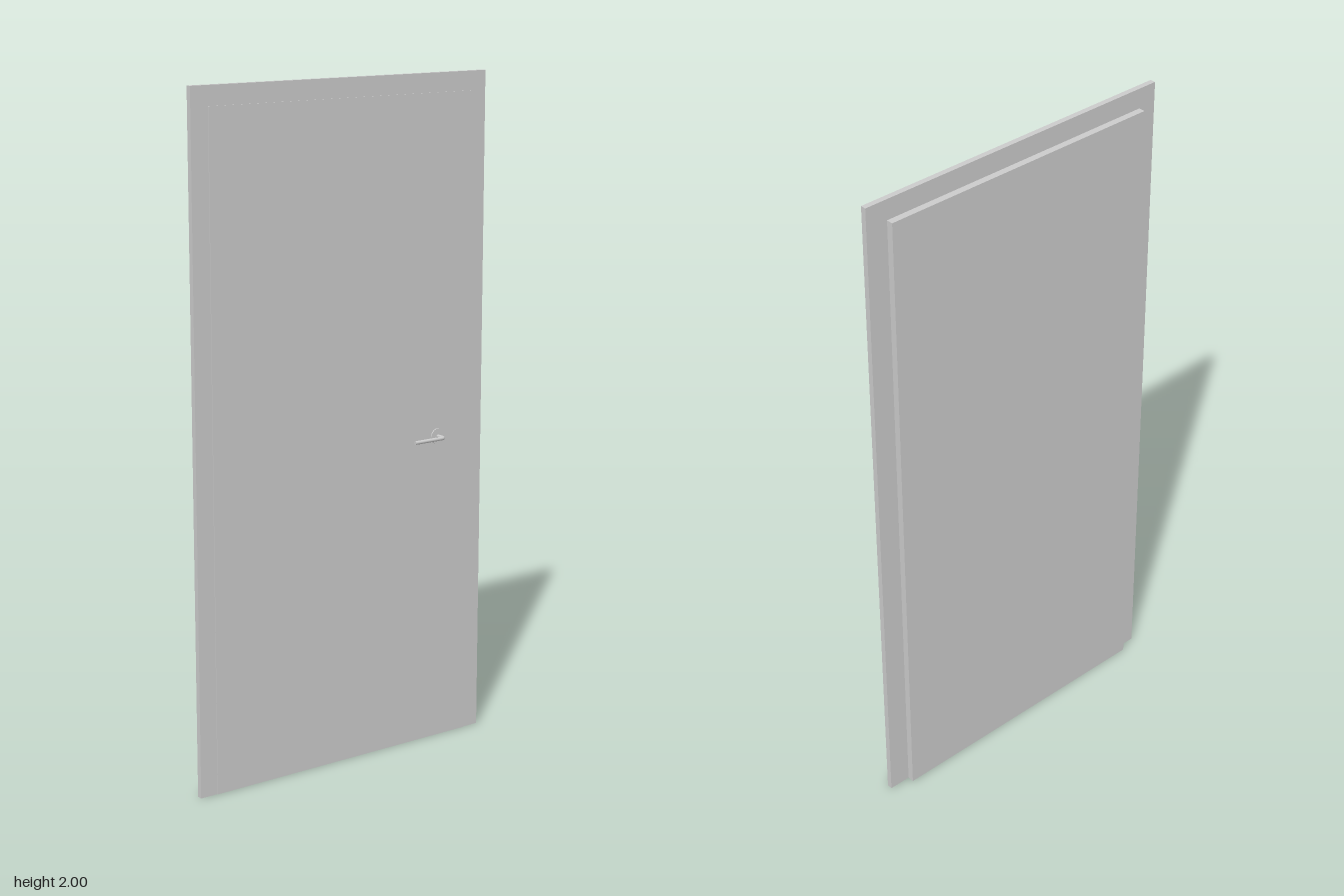
import * as THREE from 'three';

const material = new THREE.MeshStandardMaterial({ color: 0xcccccc });

function add(group, name, geometry, x = 0, y = 0, z = 0) {
  const mesh = new THREE.Mesh(geometry, material);
  mesh.name = name;
  mesh.position.set(x, y, z);
  group.add(mesh);
  return mesh;
}

// Upright slab given by its extents
function slab(group, name, x0, x1, y1, z0, z1) {
  const geometry = new THREE.BoxGeometry(x1 - x0, y1, z1 - z0);
  return add(group, name, geometry, (x0 + x1) / 2, y1 / 2, (z0 + z1) / 2);
}

// Casing around the opening, on three sides
function casingGeometry() {
  const points = [
    [-0.505, 0], [-0.448, 0], [-0.448, 1.94], [0.438, 1.94],
    [0.438, 0], [0.505, 0], [0.505, 2], [-0.505, 2],
  ].map(([x, y]) => new THREE.Vector2(x, y));
  return new THREE.ExtrudeGeometry(new THREE.Shape(points), { depth: 0.0165, bevelEnabled: false });
}

// Lever handle: rose, neck and lever in one bent rod
function createHandle() {
  const handle = new THREE.Group();
  handle.name = 'handle';
  const r = 0.0055;
  const v = (x, z) => new THREE.Vector3(x, 0, z);

  add(handle, 'rose', new THREE.CylinderGeometry(0.0235, 0.0235, 0.004, 32), 0, 0, 0.001)
    .rotation.x = Math.PI / 2;

  const neckEnd = v(0, 0.023), leverStart = v(-0.009, 0.032), tip = v(-0.108, 0.032);
  const bend = new THREE.QuadraticBezierCurve3(neckEnd, v(0, 0.032), leverStart);
  const path = new THREE.CatmullRomCurve3(
    [v(0, 0), v(0, 0.012), ...bend.getPoints(6), v(-0.05, 0.032), tip], false, 'centripetal');
  add(handle, 'lever', new THREE.TubeGeometry(path, 60, r, 16));
  add(handle, 'leverEnd', new THREE.CircleGeometry(r, 16), tip.x, 0, tip.z)
    .rotation.y = -Math.PI / 2;

  handle.position.set(0.337, 0.937, 0);
  return handle;
}

export function createModel() {
  const model = new THREE.Group();
  model.name = 'door';

  add(model, 'casing', casingGeometry(), 0, 0, -0.02);

  // Rebated leaf: a thick core with a thin lip lapping over the casing
  const leaf = new THREE.Group();
  leaf.name = 'leaf';
  slab(leaf, 'leafCore', -0.448, 0.438, 1.94, -0.04, -0.0035);
  slab(leaf, 'leafLip', -0.45, 0.45, 1.944, -0.0035, -0.001);
  model.add(leaf);

  model.add(createHandle());
  return model;
}
